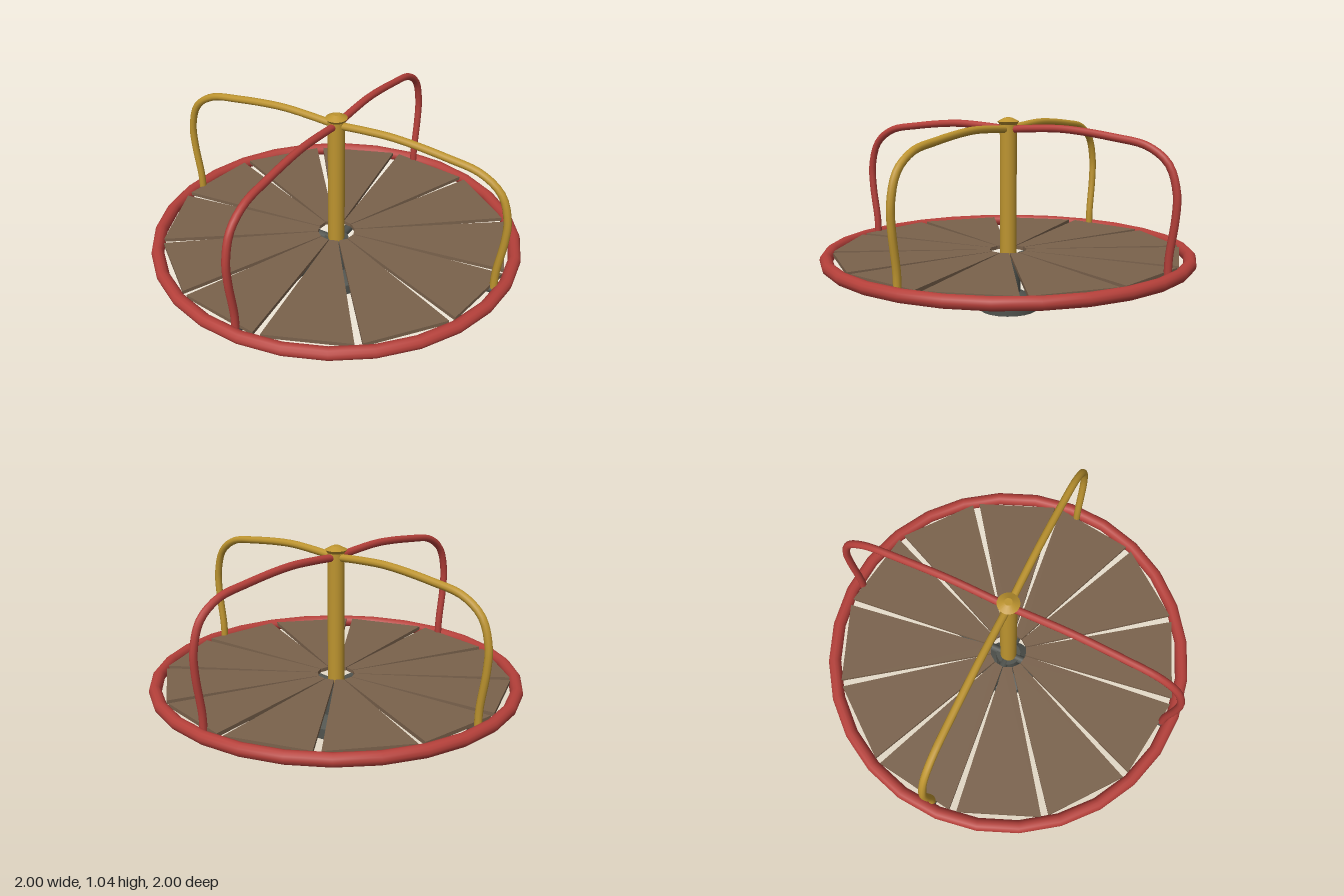
import * as THREE from 'three';

const material = (name, color) => {
  const m = new THREE.MeshStandardMaterial({ color });
  m.name = name;
  return m;
};

export function createModel() {
  const red = material('red paint', 0xb5403a);
  const yellow = material('yellow paint', 0xbd942f);
  const wood = material('brown deck', 0x7a624c);
  const gray = material('dark steel', 0x50534e);

  const model = new THREE.Group();
  model.name = 'merryGoRound';
  const add = (name, geometry, mat, parent = model) => {
    const mesh = new THREE.Mesh(geometry, mat);
    mesh.name = name;
    parent.add(mesh);
    return mesh;
  };

  // Ground pedestal: foot, cone and column
  const drum = (name, top, bottom, y0, y1, mat) => {
    const mesh = add(name, new THREE.CylinderGeometry(top, bottom, y1 - y0, 20), mat);
    mesh.position.y = (y0 + y1) / 2;
  };
  drum('baseFoot', 0.156, 0.156, 0, 0.06, gray);
  drum('baseCone', 0.068, 0.156, 0.06, 0.102, gray);
  drum('baseColumn', 0.067, 0.067, 0.1, 0.285, gray);

  // Centre post with flared cap
  drum('centrePost', 0.045, 0.045, 0.28, 1.005, yellow);
  drum('capFlare', 0.058, 0.042, 1.0, 1.02, yellow);
  drum('capTop', 0.02, 0.058, 1.02, 1.04, yellow);

  // Outer ring
  const rim = new THREE.TorusGeometry(0.966, 0.034, 12, 28);
  rim.rotateX(Math.PI / 2);
  add('rim', rim, red).position.y = 0.307;

  // Twelve wedge panels with narrow gaps
  const deck = new THREE.Group();
  deck.name = 'deck';
  model.add(deck);
  const half = Math.PI / 12 - 0.021;
  const at = (r, a) => new THREE.Vector2(r * Math.cos(a), r * Math.sin(a));
  const wedge = new THREE.Shape([at(0.1, -half), at(0.932, -half), at(0.932, half), at(0.1, half)]);
  const panel = new THREE.ExtrudeGeometry(wedge, { depth: 0.02, bevelEnabled: false });
  panel.rotateX(-Math.PI / 2);
  for (let i = 0; i < 12; i++) {
    const mesh = add('deckPanel', panel, wood, deck);
    mesh.position.y = 0.312;
    mesh.rotation.y = (i + 0.5) * Math.PI / 6;
  }

  // Four quarter arms: curved handrail above, sloping spoke below
  const railCurve = new THREE.CatmullRomCurve3([
    [0.922, 0.3], [0.925, 0.4], [0.953, 0.6], [0.955, 0.72], [0.91, 0.855],
    [0.8, 0.935], [0.62, 0.968], [0.34, 0.995], [0.16, 0.99], [0, 0.978],
  ].map(([x, y]) => new THREE.Vector3(x, y, 0)));
  const rail = new THREE.TubeGeometry(railCurve, 40, 0.02, 10);
  const spokeCurve = new THREE.LineCurve3(
    new THREE.Vector3(0, 0.267, 0), new THREE.Vector3(0.95, 0.3, 0));
  const spoke = new THREE.TubeGeometry(spokeCurve, 1, 0.023, 10);
  for (let i = 0; i < 4; i++) {
    const arm = new THREE.Group();
    arm.name = 'arm';
    arm.rotation.y = Math.PI / 8 + i * Math.PI / 2;
    model.add(arm);
    add('handrail', rail, i % 2 ? yellow : red, arm);
    add('spoke', spoke, gray, arm);
  }

  return model;
}
